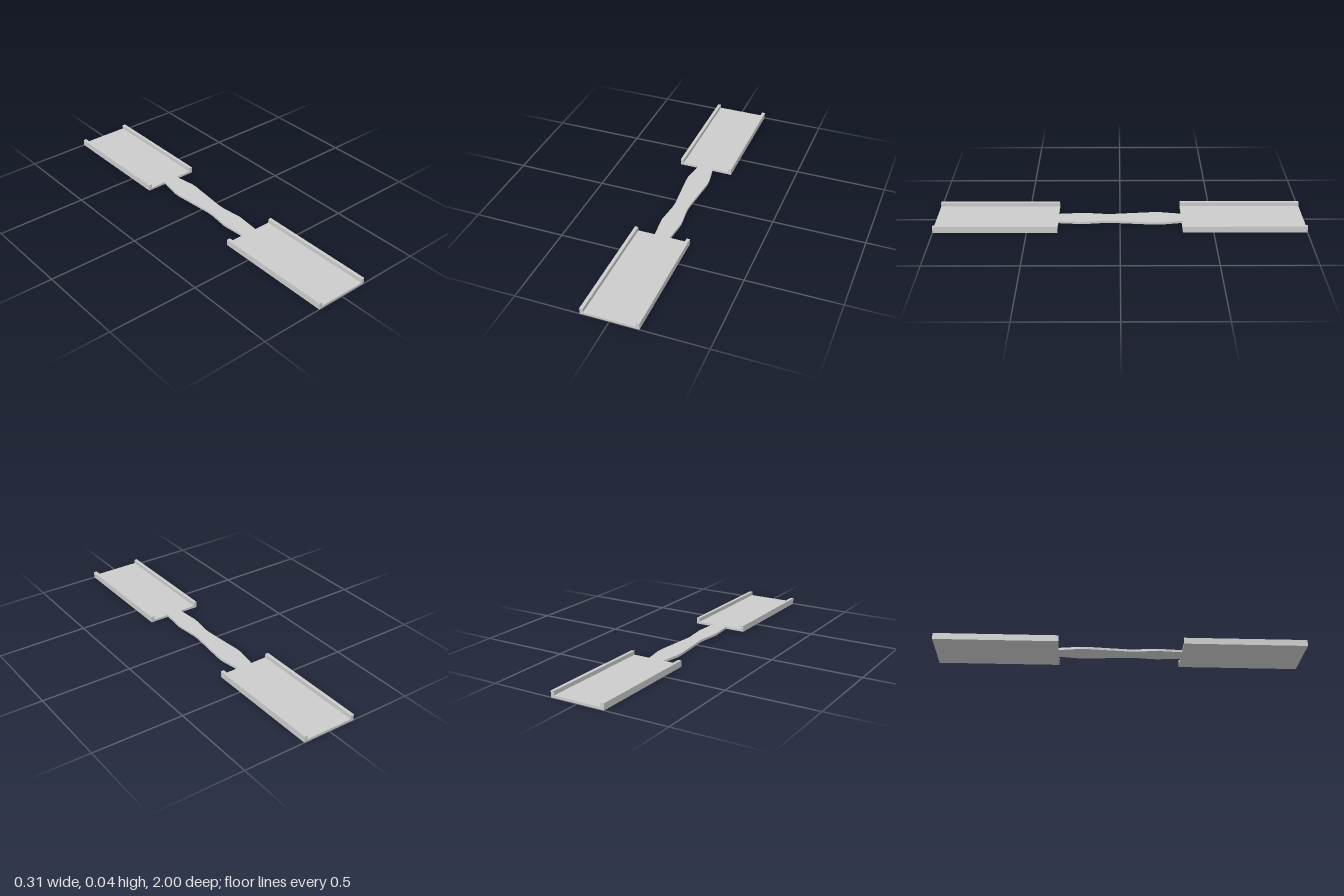
import * as THREE from 'three';

const WIDTH = 0.153, INNER = 0.135, HEIGHT = 0.035, FLOOR = 0.013;
const PLATE_START = 0.335, PLATE_END = 1;

const polygon = (points) => new THREE.Shape(points.map(([x, y]) => new THREE.Vector2(x, y)));

export function createModel() {
  const model = new THREE.Group();
  const material = new THREE.MeshStandardMaterial({ color: 0xcccccc, flatShading: true });
  const add = (name, geometry) => {
    const mesh = new THREE.Mesh(geometry, material);
    mesh.name = name;
    model.add(mesh);
    return mesh;
  };

  // Two channel-shaped trays with a raised rail along each long side
  const channel = polygon([
    [-WIDTH, 0], [WIDTH, 0], [WIDTH, HEIGHT], [INNER, HEIGHT],
    [INNER, FLOOR], [-INNER, FLOOR], [-INNER, HEIGHT], [-WIDTH, HEIGHT],
  ]);
  const trayGeometry = new THREE.ExtrudeGeometry(channel, {
    depth: PLATE_END - PLATE_START, bevelEnabled: false,
  });
  add('frontTray', trayGeometry).position.z = PLATE_START;
  add('backTray', trayGeometry).position.z = -PLATE_END;

  // Flat waisted strip joining the trays: [z, half width], mirrored in x
  const outline = [
    [-PLATE_START, 0.043], [-0.22, 0.062], [-0.18, 0.062], [0.04, 0.041],
    [0.08, 0.041], [0.2, 0.055], [PLATE_START, 0.043],
  ];
  const strip = polygon([
    ...outline.map(([z, w]) => [w, z]),
    ...outline.map(([z, w]) => [-w, z]).reverse(),
  ]);
  const stripGeometry = new THREE.ExtrudeGeometry(strip, { depth: FLOOR, bevelEnabled: false });
  stripGeometry.rotateX(Math.PI / 2).translate(0, FLOOR, 0);
  add('connectingStrip', stripGeometry);

  return model;
}
